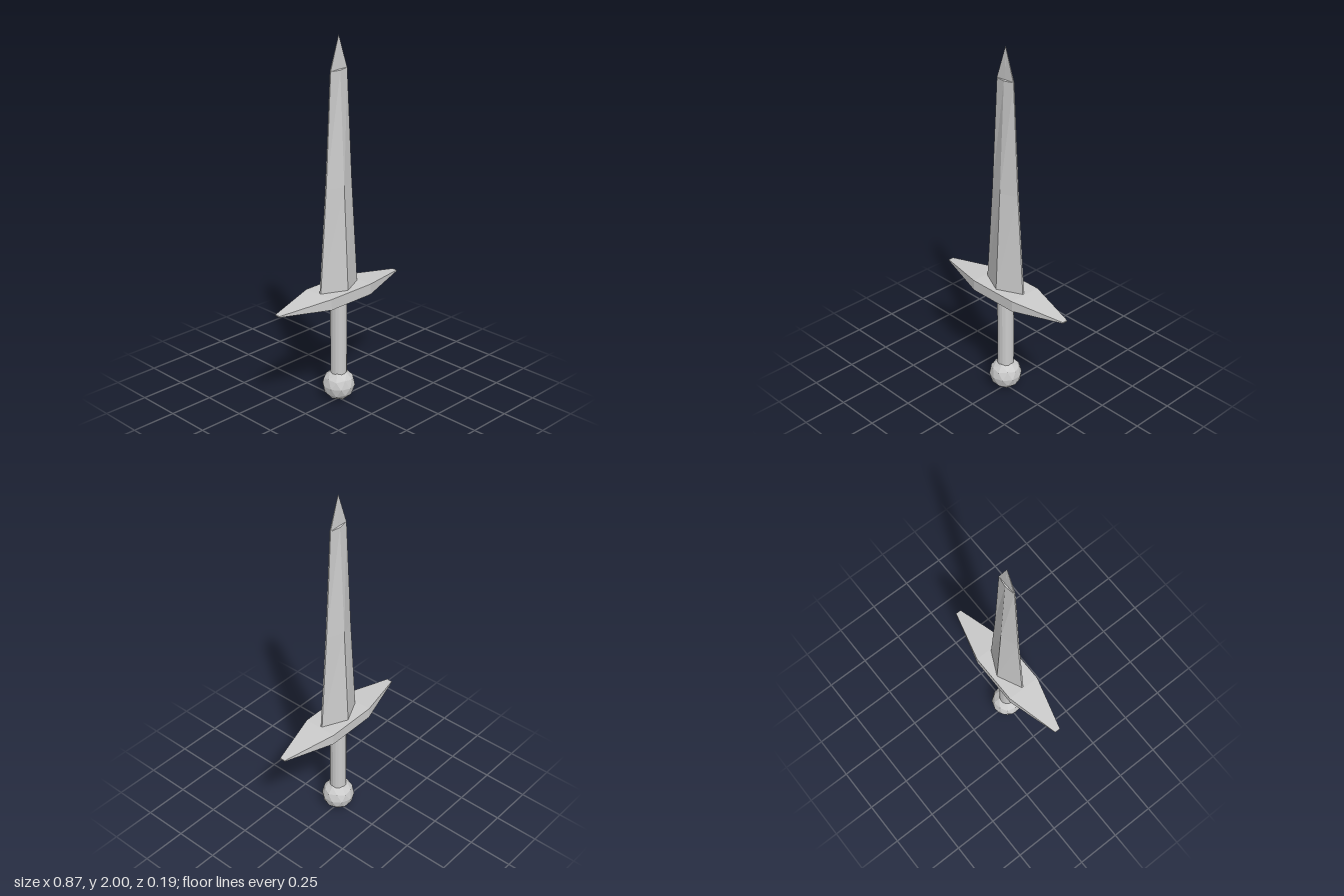
import * as THREE from 'three';

const material = new THREE.MeshStandardMaterial({ color: 0xcccccc, flatShading: true });

// Skins a stack of equal-sized rings (counter-clockwise seen from +y, listed upward) and caps both ends.
function loft(rings) {
  const n = rings[0].length;
  const pos = [];
  const tri = (a, b, c) => pos.push(...a, ...b, ...c);
  for (let r = 0; r < rings.length - 1; r++) {
    const lo = rings[r], hi = rings[r + 1];
    for (let i = 0; i < n; i++) {
      const j = (i + 1) % n;
      tri(lo[i], lo[j], hi[j]);
      tri(lo[i], hi[j], hi[i]);
    }
  }
  const bottom = rings[0], top = rings[rings.length - 1];
  for (let i = 1; i < n - 1; i++) {
    tri(bottom[0], bottom[i + 1], bottom[i]);
    tri(top[0], top[i], top[i + 1]);
  }
  const geo = new THREE.BufferGeometry();
  geo.setAttribute('position', new THREE.Float32BufferAttribute(pos, 3));
  geo.computeVertexNormals();
  return geo;
}

// Diamond section with a slightly blunt cutting edge on each side
function bladeRing(y, x, z, edge) {
  return [[x, y, edge], [x, y, -edge], [0, y, -z], [-x, y, -edge], [-x, y, edge], [0, y, z]];
}

// Rectangular section across the guard
function guardRing(x, halfHeight, z) {
  const y = 0.63;
  return [[x, y - halfHeight, z], [x, y - halfHeight, -z], [x, y + halfHeight, -z], [x, y + halfHeight, z]];
}

export function createModel() {
  const group = new THREE.Group();
  const add = (name, geo) => {
    const mesh = new THREE.Mesh(geo, material);
    mesh.name = name;
    group.add(mesh);
    return mesh;
  };

  // Pommel: faceted ball with a vertex pointing straight down
  const ball = new THREE.IcosahedronGeometry(0.09, 1);
  ball.rotateZ(-Math.atan(2 / (1 + Math.sqrt(5))));
  add('pommel', ball).position.y = 0.09;

  // Grip
  add('grip', new THREE.CylinderGeometry(0.045, 0.045, 0.46, 16)).position.y = 0.38;

  // Crossguard: full in the middle, tapering to small blunt ends
  add('crossguard', loft([
    guardRing(-0.437, 0.003, 0.016),
    guardRing(-0.145, 0.03, 0.095),
    guardRing(0.145, 0.03, 0.095),
    guardRing(0.437, 0.003, 0.016),
  ]));

  // Blade with its ridge, stepping down to a thin flat point
  add('blade', loft([
    bladeRing(0.64, 0.136, 0.071, 0.005),
    bladeRing(0.66, 0.135, 0.07, 0.005),
    bladeRing(1.22, 0.093, 0.041, 0.004),
    bladeRing(1.825, 0.058, 0.012, 0.003),
    bladeRing(1.83, 0.057, 0.004, 0.003),
    bladeRing(2.0, 0.001, 0.001, 0.0005),
  ]));

  return group;
}
